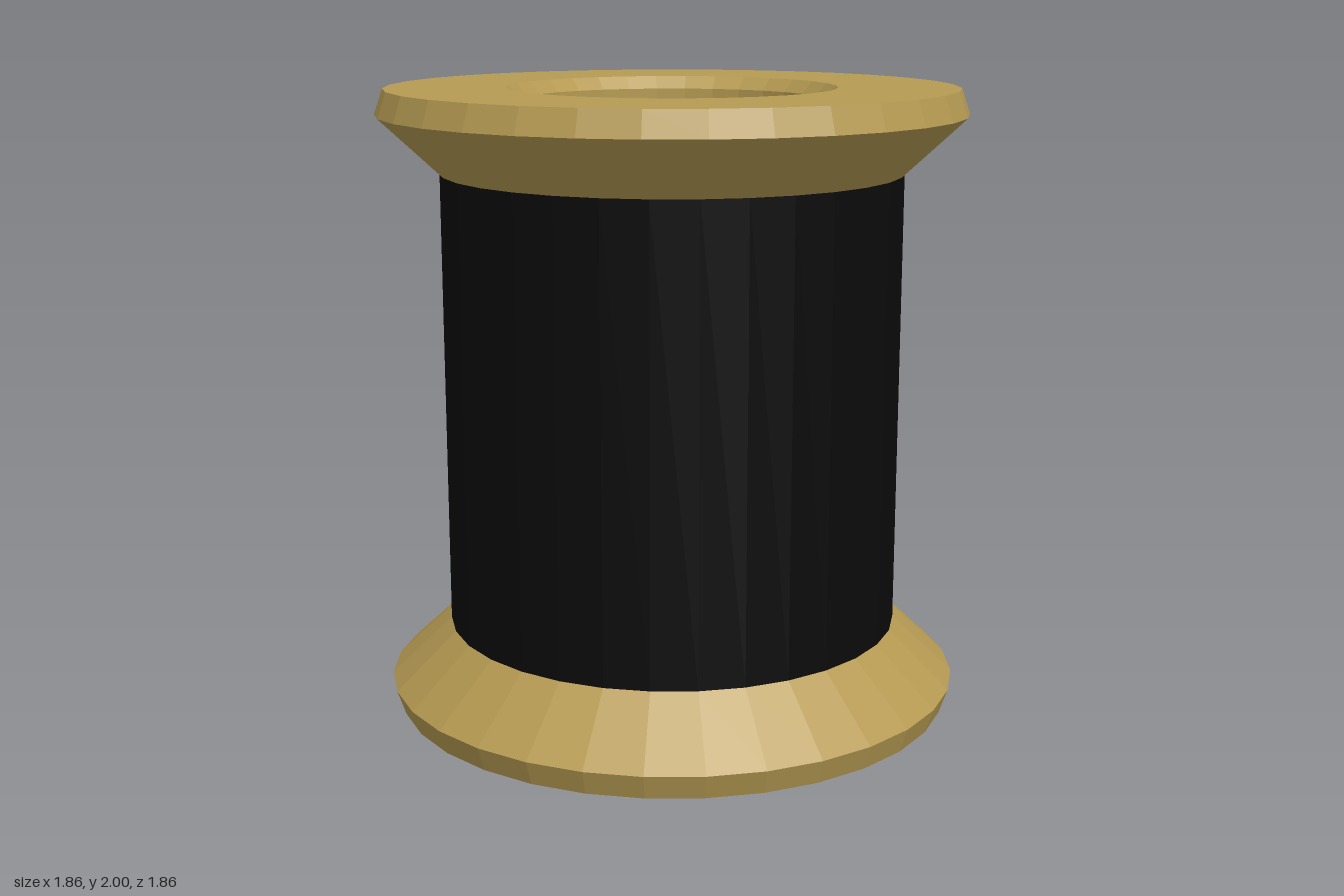
import * as THREE from 'three';

const SIDES = 32;
const HEIGHT = 2;
const SLEEVE_RADIUS = 0.735;
const SLEEVE_BOTTOM = 0.265;

function lathePart(name, profile, color) {
  const points = profile.map(([r, y]) => new THREE.Vector2(r, y));
  const material = new THREE.MeshStandardMaterial({ color, flatShading: true });
  const mesh = new THREE.Mesh(new THREE.LatheGeometry(points, SIDES), material);
  mesh.name = name;
  return mesh;
}

export function createModel() {
  const group = new THREE.Group();
  group.name = 'spool';

  // Lower flange, from the bore out to the foot of the sleeve
  const lowerFlange = [
    [0.485, 0.04],
    [0.522, 0],
    [0.905, 0],
    [0.932, 0.08],
    [SLEEVE_RADIUS, SLEEVE_BOTTOM],
  ];
  // Upper flange mirrors the lower one, running back in to the bore
  const upperFlange = lowerFlange.map(([r, y]) => [r, HEIGHT - y]).reverse();

  // Both flanges joined by the bore, in one profile
  group.add(lathePart('flangesAndBore', [...upperFlange, ...lowerFlange], 0xb59a52));

  // Dark sleeve between the flanges
  group.add(lathePart('sleeve', [
    [SLEEVE_RADIUS, SLEEVE_BOTTOM],
    [SLEEVE_RADIUS, HEIGHT - SLEEVE_BOTTOM],
  ], 0x0b0b0b));

  return group;
}
